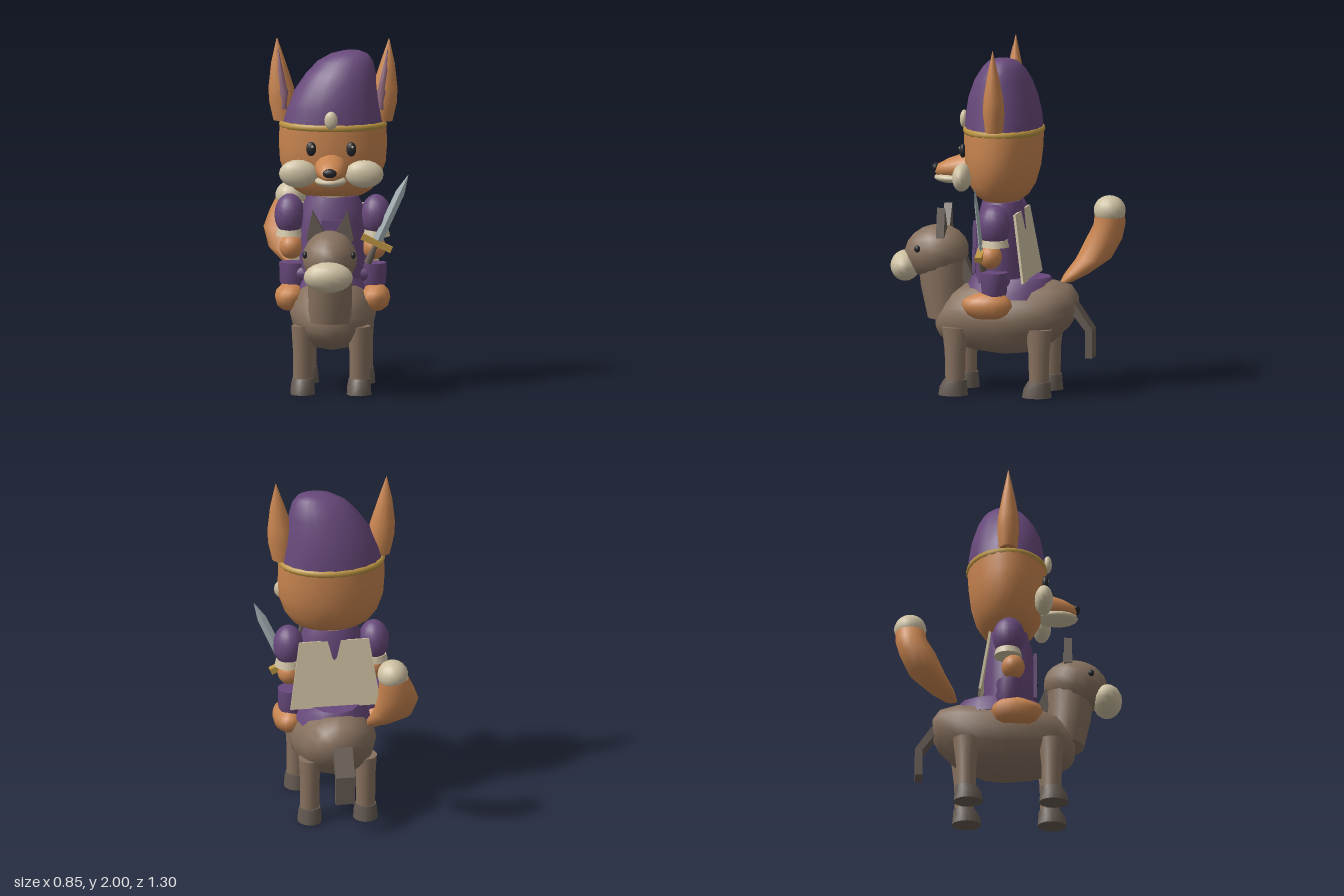
import * as THREE from 'three';
import { toCreasedNormals } from 'three/addons/utils/BufferGeometryUtils.js';

const mat = (name, color) => new THREE.MeshStandardMaterial({ name, color });
const M = {
  fur: mat('orange fur', 0xc98550), cloth: mat('purple cloth', 0x67487a),
  cream: mat('cream', 0xcdc0a2), coat: mat('brown coat', 0x87715f),
  dark: mat('dark brown', 0x655a52), gold: mat('gold', 0xba9342),
  steel: mat('steel', 0xa9b6ba), black: mat('black', 0x26272c), mauve: mat('mauve', 0x8d6478),
};

// Closed solid through elliptical rings [y, centreX, centreZ, radiusX, radiusZ]
function loft(rings, sides = 14, crease = 0.8) {
  const pos = [], idx = [], n = rings.length;
  for (const [y, cx, cz, rx, rz] of rings)
    for (let i = 0; i < sides; i++) {
      const a = (i / sides) * Math.PI * 2;
      pos.push(cx + rx * Math.cos(a), y, cz + rz * Math.sin(a));
    }
  for (let j = 0; j < n - 1; j++)
    for (let i = 0; i < sides; i++) {
      const k = (i + 1) % sides, a = j * sides + i, b = j * sides + k;
      idx.push(a, a + sides, b, b, a + sides, b + sides);
    }
  const first = rings[0], last = rings[n - 1], c = n * sides;
  pos.push(first[1], first[0], first[2], last[1], last[0], last[2]);
  for (let i = 0; i < sides; i++) {
    const k = (i + 1) % sides, t = (n - 1) * sides;
    idx.push(c, i, k, c + 1, t + k, t + i);
  }
  const g = new THREE.BufferGeometry();
  g.setAttribute('position', new THREE.Float32BufferAttribute(pos, 3));
  g.setIndex(idx);
  return toCreasedNormals(g, crease);
}

const ball = (rx, ry, rz, w = 16, h = 12) => new THREE.SphereGeometry(1, w, h).scale(rx, ry, rz);

function prism(points, depth) {
  const shape = new THREE.Shape(points.map(([x, y]) => new THREE.Vector2(x, y)));
  return new THREE.ExtrudeGeometry(shape, { depth, bevelEnabled: false }).translate(0, 0, -depth / 2);
}

export function createModel() {
  const model = new THREE.Group();
  model.name = 'foxRider';
  const root = new THREE.Group();
  root.name = 'figure';
  root.position.x = -0.015;
  model.add(root);

  const add = (name, geo, m, x = 0, y = 0, z = 0, parent = root) => {
    const mesh = new THREE.Mesh(geo, m);
    mesh.name = name;
    mesh.position.set(x, y, z);
    parent.add(mesh);
    return mesh;
  };

  // Pony body: rings run along z
  const barrel = [[-0.42, 0.52, 0.07, 0.06], [-0.38, 0.51, 0.14, 0.12], [-0.28, 0.475, 0.2, 0.18],
    [-0.12, 0.445, 0.24, 0.215], [0, 0.435, 0.245, 0.215], [0.14, 0.44, 0.235, 0.205],
    [0.28, 0.43, 0.19, 0.165], [0.36, 0.41, 0.12, 0.1], [0.385, 0.4, 0.06, 0.05]]
    .map(([z, cy, rx, ry]) => [z, 0, -cy, rx, ry]);
  add('ponyBody', loft(barrel, 16, 1.1).rotateX(Math.PI / 2), M.coat);

  // Pony legs and hooves
  for (const s of [-1, 1])
    for (const z of [0.25, -0.235]) {
      add('ponyLeg', loft([[0.05, 0, 0, 0.055, 0.055], [0.25, 0, 0, 0.056, 0.06], [0.39, 0, 0, 0.065, 0.076]]),
        M.coat, s * 0.16, 0, z);
      add('hoof', loft([[0, 0, 0.012, 0.07, 0.085], [0.05, 0, 0.01, 0.067, 0.078], [0.09, 0, 0, 0.06, 0.065]]),
        M.dark, s * 0.16, 0, z);
    }

  // Pony neck, head and muzzle
  add('ponyNeck', loft([[0.42, 0, 0.33, 0.12, 0.11], [0.6, 0, 0.355, 0.125, 0.125], [0.76, 0, 0.36, 0.13, 0.14]]), M.coat);
  add('ponyHead', ball(0.155, 0.155, 0.185, 14, 10), M.coat, 0, 0.795, 0.39).rotation.x = 0.2;
  add('muzzle', ball(0.14, 0.088, 0.085, 14, 10), M.cream, 0, 0.71, 0.57);

  // Mane and stepped tail
  add('mane', new THREE.BoxGeometry(0.08, 0.27, 0.06), M.dark, 0, 0.755, 0.245).rotation.x = 0.39;
  add('ponyTail', prism([[0.35, 0.54], [0.4, 0.555], [0.52, 0.38], [0.52, 0.215], [0.48, 0.215], [0.48, 0.37]].reverse(), 0.11)
    .rotateY(Math.PI / 2), M.dark);

  for (const s of [-1, 1]) {
    add('ponyEar', prism([[s * 0.135, 0.89], [s * 0.02, 0.915], [s * 0.1, 1.06]], 0.046), M.dark, 0, 0, 0.345);
    add('ponyEye', ball(0.015, 0.02, 0.018, 10, 8), M.black, s * 0.136, 0.825, 0.475);
  }

  // Saddle
  add('saddle', loft([[0.56, 0, -0.04, 0.22, 0.26], [0.63, 0, -0.04, 0.19, 0.25], [0.67, 0, -0.04, 0.16, 0.235]], 12), M.cloth);

  // Tunic with front panel, buckle and collar
  add('tunic', loft([[0.64, 0, 0.015, 0.19, 0.145], [0.75, 0, 0.015, 0.19, 0.145], [0.95, 0, 0.015, 0.18, 0.14],
    [1.05, 0, 0.012, 0.17, 0.125], [1.105, 0, 0.012, 0.145, 0.11]], 16), M.cloth);
  add('tunicPanel', prism([[-0.085, 0.69], [0.085, 0.69], [0.055, 0.98], [-0.055, 0.98]], 0.02), M.cloth, 0, 0, 0.16);
  add('buckle', new THREE.BoxGeometry(0.04, 0.03, 0.008), M.black, 0, 0.82, 0.173);
  add('collar', new THREE.TorusGeometry(0.1, 0.007, 6, 24).rotateX(Math.PI / 2), M.cream, 0, 1.106, 0.012);

  // Cape
  const cape = add('cape', prism([[-0.26, -0.2], [0.26, -0.2], [0.2, 0.19], [-0.2, 0.19]], 0.014), M.cream, 0, 0.86, -0.13);
  cape.rotation.x = 0.155;

  // Rider arms and legs
  for (const s of [-1, 1]) {
    add('sleeve', ball(0.087, 0.12, 0.093), M.cloth, s * 0.245, 0.99, 0.005);
    add('cuff', new THREE.CylinderGeometry(0.07, 0.08, 0.04, 16), M.cream, s * 0.245, 0.89, 0);
    add('hand', ball(0.068, 0.07, 0.066), M.fur, s * 0.235, 0.81, 0.03);
    add('trouserLeg', loft([[0.57, 0, 0, 0.06, 0.06], [0.61, 0, 0, 0.077, 0.073], [0.72, 0, 0, 0.08, 0.075]]),
      M.cloth, s * 0.225, 0, 0.01);
    add('thigh', ball(0.12, 0.06, 0.08), M.cloth, s * 0.15, 0.66, 0.01);
    add('foot', loft([[0.457, 0, 0, 0.045, 0.075], [0.48, 0, 0, 0.075, 0.115], [0.53, 0, 0, 0.088, 0.148],
      [0.565, 0, 0, 0.08, 0.135], [0.6, 0, -0.02, 0.045, 0.075]], 16, 1.1), M.fur, s * 0.24, 0, 0.05);
  }

  // Sword
  const sword = new THREE.Group();
  sword.name = 'sword';
  sword.position.set(0.252, 0.84, 0.08);
  sword.rotation.z = -0.43;
  root.add(sword);
  const blade = loft([[0, 0, 0, 0.028, 0.012], [0.32, 0, 0, 0.026, 0.011], [0.43, 0, 0, 0.001, 0.001]], 4, 0.2);
  add('blade', blade, M.steel, 0, 0, 0, sword);
  add('guard', new THREE.BoxGeometry(0.185, 0.035, 0.04), M.gold, 0, 0, 0, sword);
  add('grip', new THREE.CylinderGeometry(0.018, 0.022, 0.12, 8), M.dark, 0, -0.065, 0, sword);

  // Fox head and face
  add('foxHead', loft([[1.11, 0, 0.01, 0.17, 0.11], [1.14, 0, 0.01, 0.22, 0.15], [1.2, 0, 0.008, 0.265, 0.185],
    [1.3, 0, 0.005, 0.3, 0.21], [1.4, 0, 0.003, 0.307, 0.22], [1.52, 0, 0, 0.303, 0.223]], 24), M.fur);
  const snout = [[0.16, 1.285, 0.1, 0.08], [0.24, 1.285, 0.092, 0.077], [0.32, 1.275, 0.078, 0.058],
    [0.38, 1.265, 0.05, 0.035], [0.395, 1.26, 0.025, 0.018]].map(([z, cy, rx, ry]) => [z, 0, -cy, rx, ry]);
  add('snout', loft(snout, 14, 1.1).rotateX(Math.PI / 2), M.fur);
  add('jaw', ball(0.09, 0.032, 0.12), M.cream, 0, 1.222, 0.285);
  add('nose', ball(0.04, 0.026, 0.022), M.black, 0, 1.28, 0.395);
  for (const s of [-1, 1]) {
    add('cheek', ball(0.11, 0.08, 0.053, 14, 10), M.cream, s * 0.187, 1.252, 0.205);
    add('eye', ball(0.028, 0.041, 0.02), M.black, s * 0.114, 1.395, 0.215);
    add('eyeGlint', ball(0.007, 0.008, 0.004, 8, 6), M.cream, s * 0.114 + 0.008, 1.41, 0.234);
    // Ears with inner patch
    add('foxEar', loft([[1.53, s * 0.272, 0, 0.066, 0.052], [1.64, s * 0.287, 0, 0.076, 0.062],
      [1.72, s * 0.294, 0, 0.072, 0.058], [1.86, s * 0.309, 0, 0.042, 0.032], [2, s * 0.318, 0, 0.002, 0.002]], 12, 1), M.fur);
    add('innerEar', loft([[1.6, s * 0.275, 0.045, 0.018, 0.02], [1.7, s * 0.278, 0.045, 0.028, 0.021],
      [1.82, s * 0.297, 0.028, 0.018, 0.016], [1.94, s * 0.311, 0.011, 0.003, 0.006]], 10, 1), M.mauve);
  }

  // Slouched hat with band and jewel
  add('hat', loft([[1.51, 0, 0, 0.295, 0.22], [1.6, 0.005, 0, 0.275, 0.214], [1.7, 0.02, 0, 0.242, 0.197],
    [1.8, 0.045, -0.004, 0.198, 0.163], [1.87, 0.07, -0.01, 0.157, 0.122], [1.91, 0.092, -0.012, 0.108, 0.085],
    [1.928, 0.105, -0.012, 0.05, 0.04]], 20, 1.1), M.cloth);
  add('hatBand', new THREE.TorusGeometry(1, 0.075, 8, 32).rotateX(Math.PI / 2).scale(0.286, 0.28, 0.214), M.gold, 0, 1.51, 0);
  add('jewel', ball(0.038, 0.052, 0.024), M.cream, 0, 1.56, 0.232);

  // Bushy fox tail
  add('foxTail', loft([[0.615, -0.18, -0.32, 0.025, 0.035], [0.66, -0.22, -0.375, 0.075, 0.07],
    [0.74, -0.275, -0.46, 0.112, 0.1], [0.85, -0.3, -0.515, 0.118, 0.102], [0.94, -0.285, -0.55, 0.1, 0.09],
    [1.0, -0.27, -0.555, 0.085, 0.085]], 14, 1), M.fur);
  add('tailTip', ball(0.088, 0.085, 0.092), M.cream, -0.265, 1.02, -0.555);

  return model;
}
